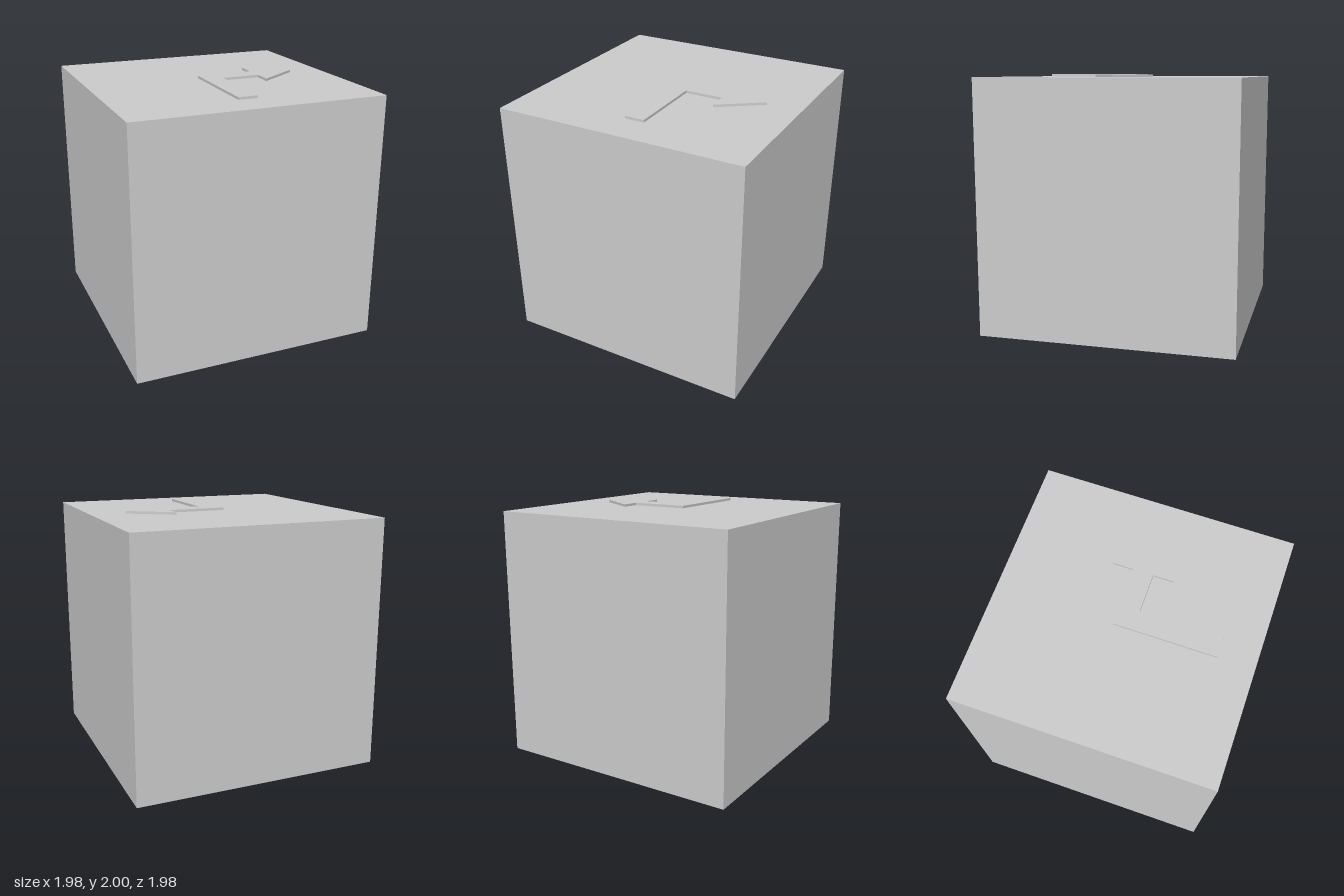
import * as THREE from 'three';

const SIZE = 1.98; // cube edge
const RELIEF = 0.02; // height of the raised arrow

export function createModel() {
  const group = new THREE.Group();
  const material = new THREE.MeshStandardMaterial({ color: 0xcccccc, flatShading: true });

  // Plain cube body
  const cube = new THREE.Mesh(new THREE.BoxGeometry(SIZE, SIZE, SIZE), material);
  cube.name = 'cube';
  cube.position.y = SIZE / 2;
  group.add(cube);

  // Right-turn arrow on the top face, outlined as [x, -z]
  const outline = [
    [-0.078, -0.71], [0.078, -0.71], [0.078, -0.075], [0.383, -0.075], [0.383, -0.23],
    [0.717, 0.003], [0.383, 0.235], [0.383, 0.08], [-0.078, 0.08],
  ];
  const shape = new THREE.Shape(outline.map(([x, y]) => new THREE.Vector2(x, y)));
  const arrowGeometry = new THREE.ExtrudeGeometry(shape, { depth: RELIEF, bevelEnabled: false });
  arrowGeometry.rotateX(-Math.PI / 2);
  const arrow = new THREE.Mesh(arrowGeometry, material);
  arrow.name = 'turnArrow';
  arrow.position.y = SIZE;
  group.add(arrow);

  return group;
}
